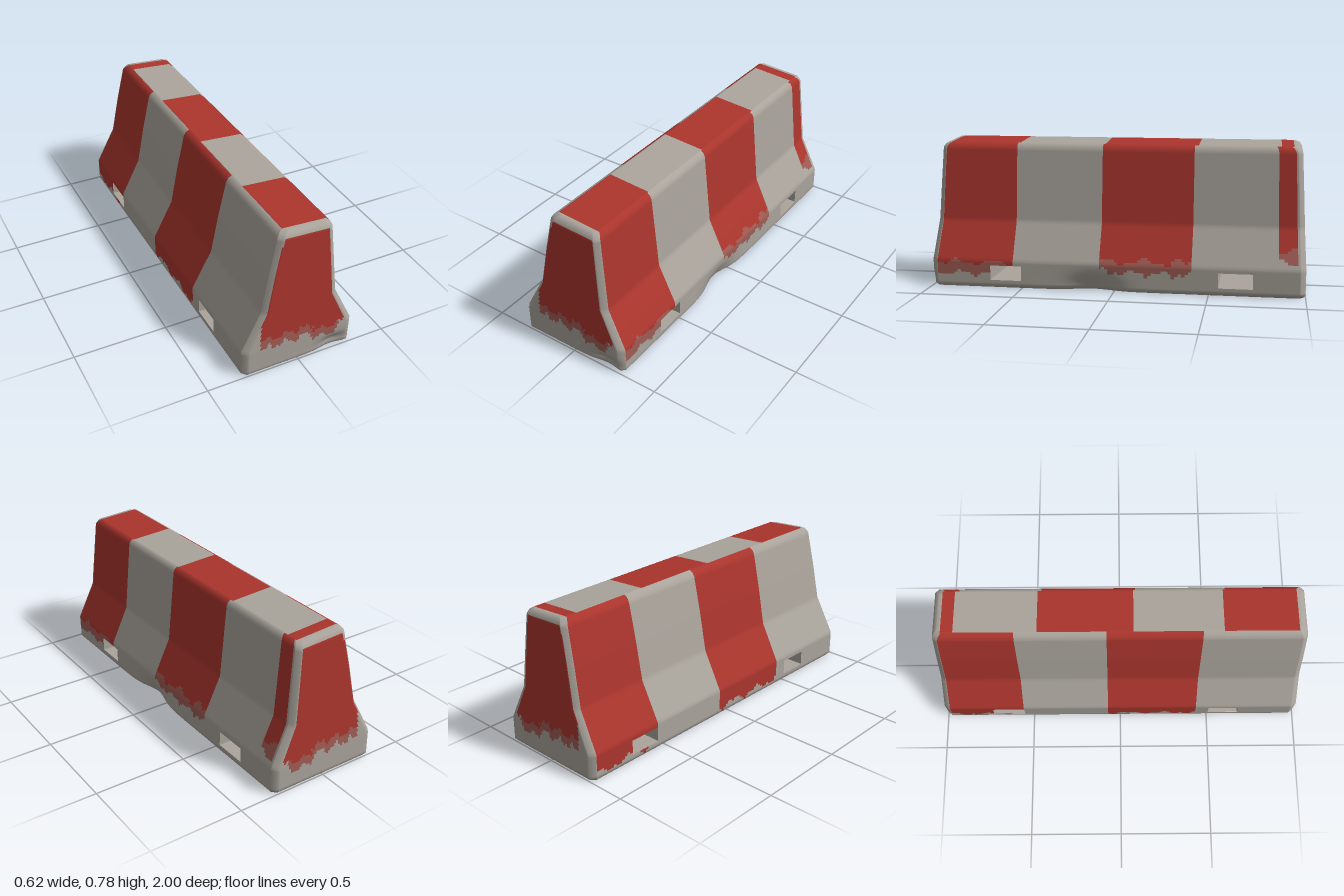
import * as THREE from 'three';
import { mergeVertices } from 'three/addons/utils/BufferGeometryUtils.js';

const GREY = 0, RED = 1, WORN = 2, HOLE = -1;

// Outline by height: [y, left x, right x, half length]
const PROFILE = [
  [0, -0.298, 0.298, 0.988], [0.015, -0.31, 0.308, 1], [0.145, -0.31, 0.308, 1],
  [0.35, -0.203, 0.21, 0.99], [0.56, -0.163, 0.19, 0.98], [0.755, -0.12, 0.172, 0.97],
  [0.775, -0.107, 0.163, 0.958], [0.785, -0.088, 0.148, 0.942],
];
const TOP = 0.785;
const SLOTS = [[0.505, 0.675], [-0.73, -0.55]];
const SLOT_Y = [0.04, 0.12];

// Painted bands along the length: [from, to]
const BANDS_RIGHT = [[0.55, 0.97], [-0.41, 0.08], [-0.96, -0.86]];
const BANDS_LEFT = [[-0.97, -0.55], [-0.07, 0.43]];
const BANDS_TOP = [[0.54, 0.975], [-0.43, 0.07], [-0.975, -0.89]];

const inside = (v, ranges) => ranges.some(([a, b]) => v > a && v < b);
const bump = (d, r) => Math.exp(-(d * d) / (r * r));
const ragged = (s) => 0.014 * Math.sin(31 * s) + 0.009 * Math.sin(73 * s + 1);

function outline(y, k) {
  let i = 1;
  while (i < PROFILE.length - 1 && y > PROFILE[i][0]) i++;
  const a = PROFILE[i - 1], b = PROFILE[i];
  return THREE.MathUtils.lerp(a[k], b[k], (y - a[0]) / (b[0] - a[0]));
}

// Sorted break values with even steps filled in between
function divide(breaks, step) {
  const b = [...new Set(breaks)].sort((p, q) => p - q);
  const out = [b[0]];
  for (let i = 1; i < b.length; i++) {
    const n = Math.max(1, Math.round((b[i] - b[i - 1]) / step));
    for (let j = 1; j <= n; j++) out.push(j === n ? b[i] : b[i - 1] + (b[i] - b[i - 1]) * j / n);
  }
  return out;
}

// Point of the concrete block: u across (-1..1), y height, t along (-1..1)
function point(u, y, t) {
  const end = Math.abs(t);
  const bevel = 0.02 * Math.max(0, (end - 0.975) / 0.025);
  let x = THREE.MathUtils.lerp(outline(y, 1) + bevel, outline(y, 2) - bevel, (u + 1) / 2);
  let z = Math.sign(t) * (end - (1 - outline(y, 3)) * end ** 6);
  // chipped lower edge and front corner
  x -= 0.045 * Math.max(u, 0) * bump(t - 0.12, 0.13) * bump(y, 0.07);
  z -= 0.03 * Math.max(t, 0) ** 8 * bump(x - 0.2, 0.08) * bump(y - 0.03, 0.04);
  // the top slopes down slightly to one side
  const slope = THREE.MathUtils.clamp((x + 0.09) / 0.24, 0, 1);
  return [x, y - 0.015 * slope * (y / TOP) ** 4, z];
}

function sideColour(side, t, y) {
  if (y > SLOT_Y[0] && y < SLOT_Y[1] && inside(t, SLOTS)) return HOLE;
  if (side < 0) return inside(t, BANDS_LEFT) && y > 0.04 + ragged(t) ? RED : GREY;
  if (!inside(t, BANDS_RIGHT)) return GREY;
  const base = t > 0.5 ? 0.135 : t > -0.5 ? 0.165 : 0.24;
  const edge = base + ragged(t);
  if (y > edge) return RED;
  return y > base - 0.06 + ragged(t * 1.3 + 2) ? WORN : GREY;
}

function endColour(u, y, t) {
  const x = point(u, y, t)[0];
  const left = Math.max(outline(y, 1) + 0.024, -0.215);
  const right = Math.min(outline(y, 2) - 0.03, 0.255);
  if (x < left || x > right || y > 0.757) return GREY;
  const edge = 0.195 + ragged(x * 2) - (x > 0.08 ? 0.04 : 0);
  if (y > edge) return RED;
  return y > edge - 0.05 && x < 0.225 ? WORN : GREY;
}

function buildBody(materials) {
  const us = divide([-1, -0.94, 0.94, 1], 0.045);
  const ys = divide([...PROFILE.map((p) => p[0]), ...SLOT_Y], 0.014);
  const ts = divide([-1, -0.975, 0.975, 1, ...SLOTS.flat(), ...BANDS_RIGHT.flat(),
    ...BANDS_LEFT.flat(), ...BANDS_TOP.flat()], 0.018);
  const positions = [], faces = [[], [], []];

  // One sheet of quads; colour picks the material of each quad
  function sheet(as, bs, place, colour, flip) {
    const start = positions.length / 3, n = bs.length;
    for (const a of as) for (const b of bs) positions.push(...place(a, b));
    for (let i = 0; i < as.length - 1; i++) {
      for (let j = 0; j < n - 1; j++) {
        const c = colour((as[i] + as[i + 1]) / 2, (bs[j] + bs[j + 1]) / 2);
        if (c === HOLE) continue;
        const p = start + i * n + j, q = p + n;
        if (flip) faces[c].push(p, q + 1, q, p, p + 1, q + 1);
        else faces[c].push(p, q, q + 1, p, q + 1, p + 1);
      }
    }
  }

  for (const s of [1, -1]) {
    // long side, then end
    sheet(ts, ys, (t, y) => point(s, y, t), (t, y) => sideColour(s, t, y), s > 0);
    sheet(us, ys, (u, y) => point(u, y, s), (u, y) => endColour(u, y, s), s < 0);
  }
  // top and underside
  sheet(us, ts, (u, t) => point(u, TOP, t),
    (u, t) => (inside(t, BANDS_TOP) ? RED : GREY), true);
  sheet(us, ts, (u, t) => point(u, 0, t), () => GREY, false);

  let geometry = new THREE.BufferGeometry();
  geometry.setAttribute('position', new THREE.Float32BufferAttribute(positions, 3));
  geometry.setIndex(faces.flat());
  geometry = mergeVertices(geometry, 1e-5);
  geometry.clearGroups();
  let offset = 0;
  faces.forEach((f, i) => {
    geometry.addGroup(offset, f.length, i);
    offset += f.length;
  });
  geometry.computeVertexNormals();
  const body = new THREE.Mesh(geometry, materials);
  body.name = 'barrierBody';
  return body;
}

// Four inner walls of a lifting slot running across the block
function buildSlot([z0, z1], material) {
  const slot = new THREE.Group();
  slot.name = 'liftingSlot';
  const [y0, y1] = SLOT_Y, width = 0.616;
  const zc = (z0 + z1) / 2, yc = (y0 + y1) / 2;
  const wall = (name, depth, y, z, angle) => {
    const mesh = new THREE.Mesh(new THREE.PlaneGeometry(width, depth), material);
    mesh.name = name;
    mesh.position.set(-0.001, y, z);
    mesh.rotation.x = angle;
    slot.add(mesh);
  };
  wall('slotFloor', z1 - z0, y0, zc, -Math.PI / 2);
  wall('slotRoof', z1 - z0, y1, zc, Math.PI / 2);
  wall('slotBackWall', y1 - y0, yc, z0, 0);
  wall('slotFrontWall', y1 - y0, yc, z1, Math.PI);
  return slot;
}

export function createModel() {
  const material = (name, color) => {
    const m = new THREE.MeshStandardMaterial({ color });
    m.name = name;
    return m;
  };
  const concrete = material('concrete grey', 0xaaa49c);
  const red = material('red paint', 0xab352d);
  const worn = material('worn red paint', 0xa05c54);

  const model = new THREE.Group();
  model.name = 'roadBarrier';
  model.add(buildBody([concrete, red, worn]));
  for (const range of SLOTS) model.add(buildSlot(range, concrete));
  return model;
}
